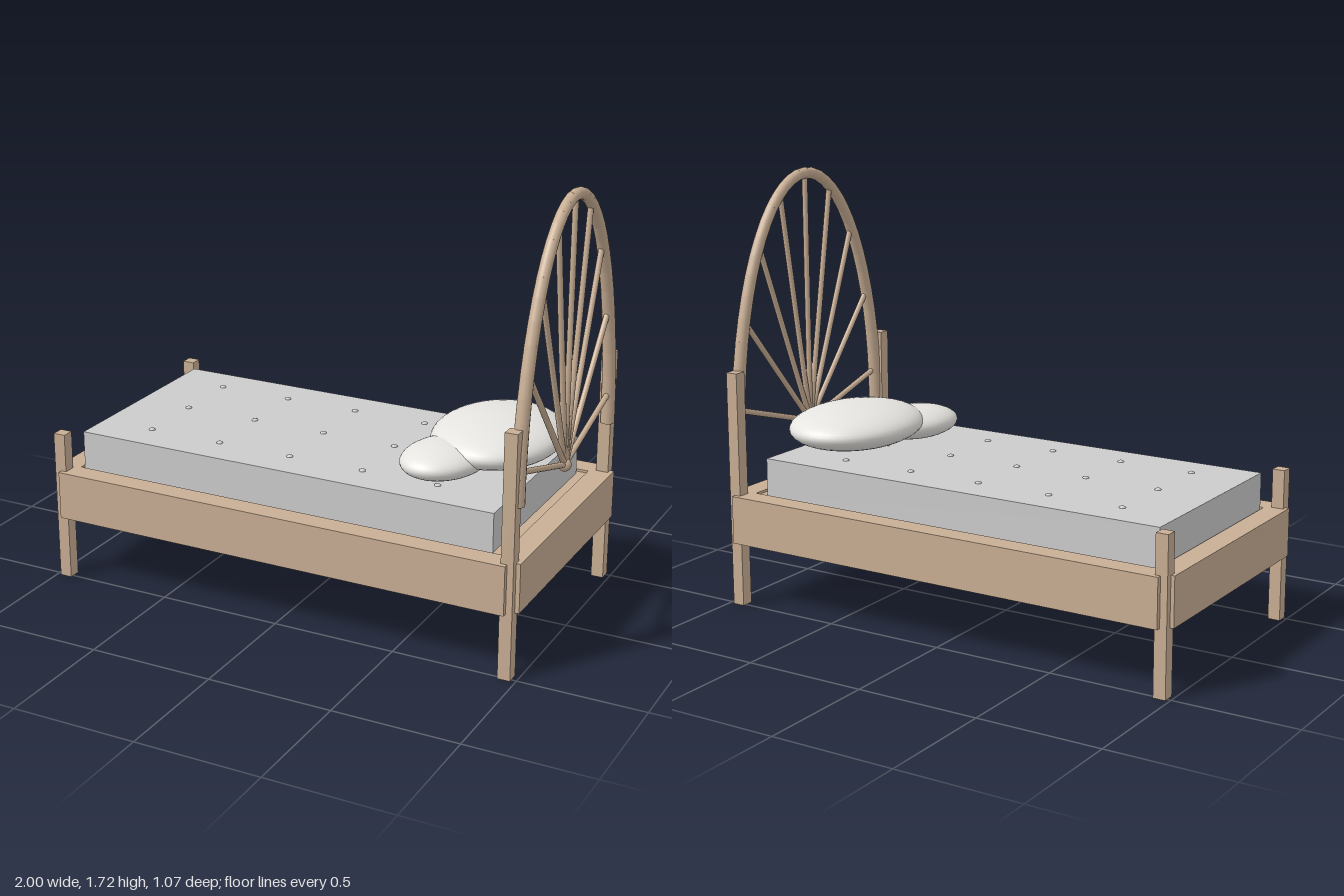
import * as THREE from 'three';

const wood = new THREE.MeshStandardMaterial({ color: 0xc8ae94 });
const cloth = new THREE.MeshStandardMaterial({ color: 0xd8d8d4 });
const pillowCloth = new THREE.MeshStandardMaterial({ color: 0xe6e4e0 });

export function createModel() {
  const bed = new THREE.Group();
  bed.name = 'bed';

  const add = (name, geometry, material) => {
    const mesh = new THREE.Mesh(geometry, material);
    mesh.name = name;
    bed.add(mesh);
    return mesh;
  };

  // Box given by its minimum and maximum corners
  const box = (name, [x0, y0, z0], [x1, y1, z1], material = wood) => {
    const mesh = add(name, new THREE.BoxGeometry(x1 - x0, y1 - y0, z1 - z0), material);
    mesh.position.set((x0 + x1) / 2, (y0 + y1) / 2, (z0 + z1) / 2);
    return mesh;
  };

  // Round rod between two points
  const rod = (name, a, b, ra, rb, sides) => {
    const dir = b.clone().sub(a);
    const mesh = add(name, new THREE.CylinderGeometry(rb, ra, dir.length(), sides), wood);
    mesh.position.copy(a).add(b).multiplyScalar(0.5);
    mesh.quaternion.setFromUnitVectors(new THREE.Vector3(0, 1, 0), dir.normalize());
    return mesh;
  };

  // Posts and side rails, mirrored front to back
  for (const s of [1, -1]) {
    const side = s > 0 ? 'front' : 'back';
    box(side + 'FootPost', [-0.985, 0, s * 0.49 - 0.025], [-0.935, 0.615, s * 0.49 + 0.025]);
    box(side + 'HeadPost', [0.93, 0, s * 0.49 - 0.025], [0.98, 0.96, s * 0.49 + 0.025]);
    box(side + 'SideRail', [-0.957, 0.265, s * 0.49 - 0.045], [0.955, 0.46, s * 0.49 + 0.045]);
  }

  // End rails and the base under the mattress
  box('footRail', [-1, 0.265, -0.49], [-0.91, 0.46, 0.49]);
  box('headRail', [0.905, 0.265, -0.49], [0.997, 0.46, 0.49]);
  box('basePanel', [-0.92, 0.395, -0.447], [0.92, 0.45, 0.447]);

  // Mattress with tufting buttons
  box('mattress', [-0.905, 0.45, -0.425], [0.862, 0.605, 0.425], cloth);
  const buttonGeometry = new THREE.SphereGeometry(0.013, 12, 8);
  for (let i = 0; i < 5; i++) {
    for (let j = -1; j <= 1; j++) {
      const button = add('mattressButton', buttonGeometry, cloth);
      button.position.set(-0.675 + i * 0.3125, 0.605, j * 0.28);
      button.scale.y = 0.6;
    }
  }

  // Pillows: flattened ellipsoids
  const pillow = (name, position, radii, turn) => {
    const mesh = add(name, new THREE.SphereGeometry(1, 40, 24), pillowCloth);
    mesh.position.set(...position);
    mesh.scale.set(...radii);
    mesh.rotation.y = turn;
  };
  pillow('largePillow', [0.666, 0.702, -0.078], [0.25, 0.088, 0.315], 0);
  pillow('smallPillow', [0.555, 0.675, 0.17], [0.151, 0.066, 0.198], -0.28);

  // Headboard arch: short overlapping rods along a half ellipse
  const archX = 0.967, hubY = 0.66, halfWidth = 0.467, rise = 1.038;
  const onArch = (t) =>
    new THREE.Vector3(archX, hubY + rise * Math.sin(t), halfWidth * Math.cos(t));
  const pieces = 32;
  const radiusAt = (t) => 0.028 - 0.005 * Math.sin(t);
  for (let i = 0; i < pieces; i++) {
    const t0 = 0.012 + (i / pieces) * (Math.PI - 0.024);
    const t1 = 0.012 + ((i + 1) / pieces) * (Math.PI - 0.024);
    const a = onArch(t0), b = onArch(t1);
    const overlap = b.clone().sub(a).multiplyScalar(0.04);
    if (i > 0) a.sub(overlap);
    if (i < pieces - 1) b.add(overlap);
    rod('headboardArch', a, b, radiusAt(t0), radiusAt(t1), 16);
  }

  // Spokes fanning out from the hub
  const hub = new THREE.Vector3(archX, hubY, 0);
  for (let i = -4; i <= 4; i++) {
    const t = THREE.MathUtils.degToRad(90 + i * 20.6);
    rod('headboardSpoke', hub, onArch(t), 0.0115, 0.0115, 12);
  }
  add('spokeHub', new THREE.SphereGeometry(0.026, 20, 14), wood).position.copy(hub);

  return bed;
}
